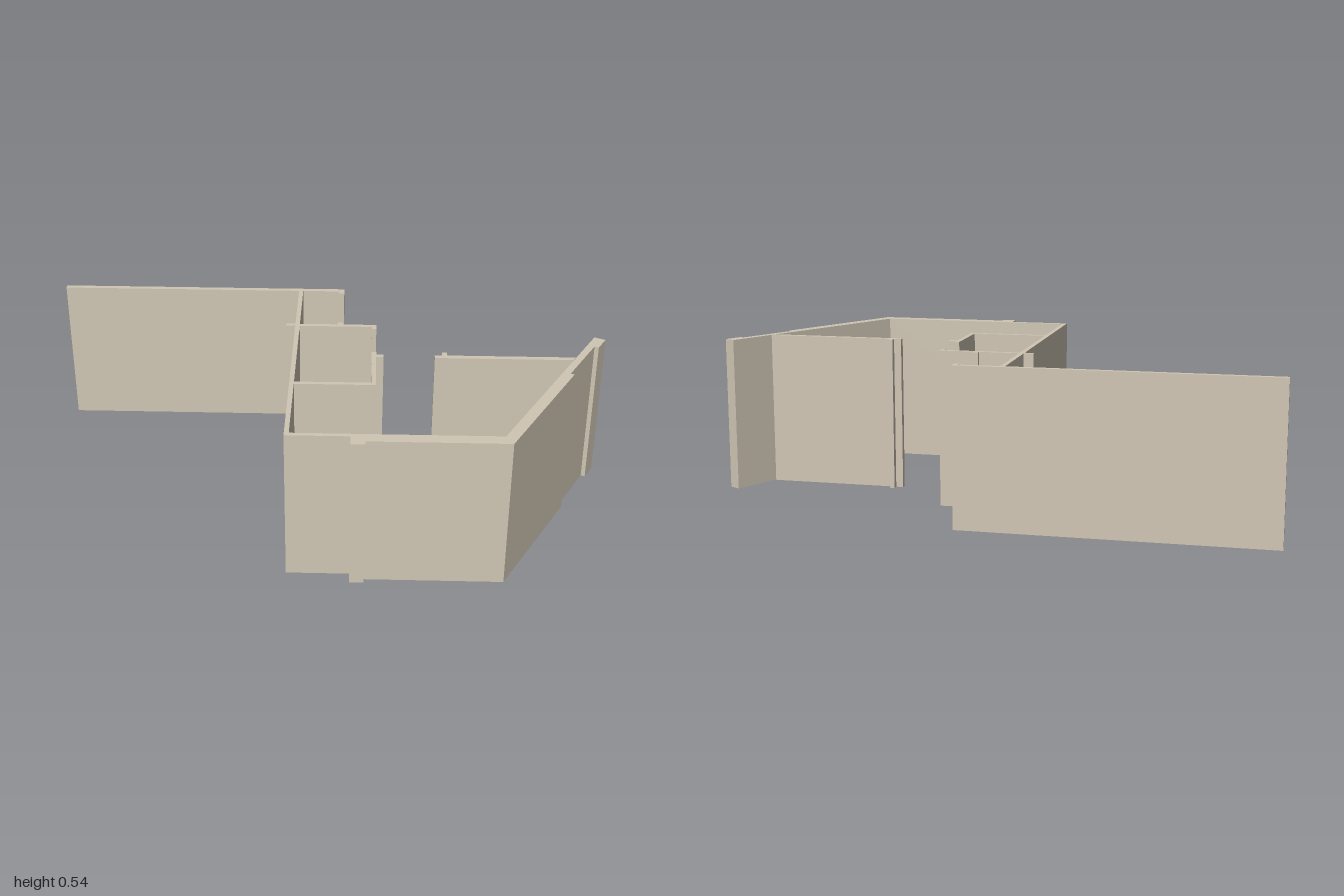
import * as THREE from 'three';

const HEIGHT = 0.543;

export function createModel() {
  const model = new THREE.Group();
  model.name = 'floorPlanWalls';
  const plaster = new THREE.MeshStandardMaterial({ color: 0xd0c6b4 });
  plaster.name = 'beige plaster';

  // Raises a wall from its footprint, given as [x, z] corners
  function wall(name, corners) {
    const shape = new THREE.Shape(corners.map(([x, z]) => new THREE.Vector2(x, -z)));
    const geometry = new THREE.ExtrudeGeometry(shape, { depth: HEIGHT, bevelEnabled: false });
    geometry.rotateX(-Math.PI / 2);
    const mesh = new THREE.Mesh(geometry, plaster);
    mesh.name = name;
    model.add(mesh);
  }

  // Long back wall with a short return at its end
  wall('backWall', [
    [-1, -0.56], [0.06, -0.56], [0.06, -0.525], [0.042, -0.525], [0.042, -0.541], [-1, -0.541],
  ]);

  // Straight spine joining the rooms
  wall('spineWall', [[-0.112, -0.541], [-0.096, -0.541], [-0.096, 0.492], [-0.112, 0.492]]);

  // Partition crossing the spine, with door jambs
  wall('partitionStub', [[-0.145, -0.268], [-0.112, -0.268], [-0.112, -0.252], [-0.145, -0.252]]);
  wall('partitionWall', [
    [-0.096, -0.268], [0.042, -0.268], [0.042, -0.285], [0.06, -0.285], [0.06, -0.268],
    [0.182, -0.268], [0.182, -0.235], [0.166, -0.235], [0.166, -0.252], [-0.096, -0.252],
  ]);

  // L-shaped closet wall with a door jamb
  wall('closetWall', [
    [-0.096, 0.159], [0.166, 0.159], [0.166, -0.062], [0.182, -0.062], [0.182, -0.043],
    [0.208, -0.043], [0.208, -0.024], [0.182, -0.024], [0.182, 0.175], [-0.096, 0.175],
  ]);

  // Inner wall that meets the slanted wall
  wall('innerWall', [
    [0.386, -0.043], [0.412, -0.043], [0.412, -0.064], [0.43, -0.064], [0.43, -0.043],
    [0.878, -0.043], [0.867, -0.023], [0.386, -0.023],
  ]);

  // Front wall: thin part, pilaster and thick part
  wall('frontWall', [
    [-0.112, 0.492], [0.596, 0.492], [0.618, 0.537], [0.15, 0.537],
    [0.15, 0.556], [0.102, 0.556], [0.102, 0.508], [-0.112, 0.508],
  ]);

  // Slanted outer wall, stepping thinner and ending in a pilaster
  wall('slantedWall', [
    [0.596, 0.492], [0.961, -0.197], [0.998, -0.178], [0.967, -0.12],
    [0.953, -0.127], [0.847, 0.073], [0.859, 0.08], [0.618, 0.537],
  ]);

  return model;
}
